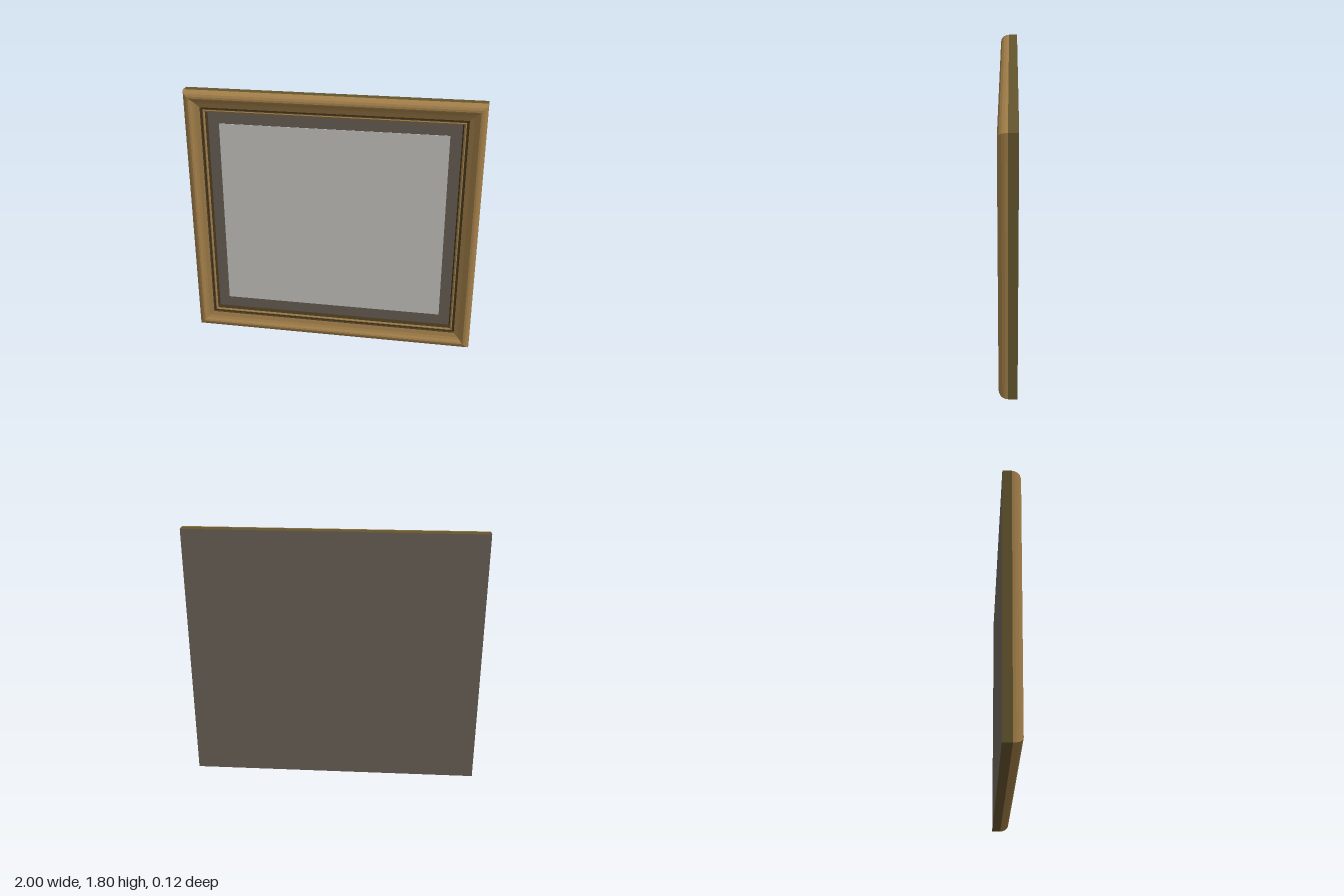
import * as THREE from 'three';

const W = 1, H = 0.9; // half width and half height

const material = (name, color) => {
  const m = new THREE.MeshStandardMaterial({ color });
  m.name = name;
  return m;
};

// Sweep a profile of [inset, z] points round the rectangle, with mitred corners
function mouldingGeometry(profile) {
  const corners = [[-1, -1], [1, -1], [1, 1], [-1, 1]];
  const at = ([sx, sy], [d, z]) => [sx * (W - d), sy * (H - d), z];
  const pos = [];
  for (let i = 0; i < profile.length - 1; i++) {
    for (let k = 0; k < 4; k++) {
      const c0 = corners[k], c1 = corners[(k + 1) % 4];
      const a0 = at(c0, profile[i]), a1 = at(c1, profile[i]);
      const b0 = at(c0, profile[i + 1]), b1 = at(c1, profile[i + 1]);
      pos.push(...a0, ...a1, ...b1, ...a0, ...b1, ...b0);
    }
  }
  const g = new THREE.BufferGeometry();
  g.setAttribute('position', new THREE.Float32BufferAttribute(pos, 3));
  g.computeVertexNormals();
  return g;
}

export function createModel() {
  const gold = material('gold wood', 0xa4804a);
  const dark = material('dark wood', 0x66552f);
  const shadow = material('groove brown', 0x44361c);
  const board = material('board brown', 0x6c6258);
  const paper = material('pale picture', 0xcdcbc6);

  const group = new THREE.Group();
  group.name = 'pictureFrame';
  const add = (name, geometry, mat, z = 0) => {
    const mesh = new THREE.Mesh(geometry, mat);
    mesh.name = name;
    mesh.position.set(0, H, z);
    group.add(mesh);
  };

  // Frame: straight rear edge, rounded front, sloping scoop, groove and lip
  add('frameEdge', mouldingGeometry([[0, -0.06], [0, 0]]), dark);
  add('frameMoulding', mouldingGeometry([
    [0, 0], [0.002, 0.018], [0.008, 0.036], [0.018, 0.05], [0.032, 0.058],
    [0.045, 0.06], [0.055, 0.055], [0.066, 0.043], [0.082, 0.033], [0.112, 0.024],
  ]), gold);
  add('frameGroove', mouldingGeometry([[0.112, 0.024], [0.116, 0.01], [0.126, 0.01], [0.128, 0.02]]), shadow);
  add('innerLip', mouldingGeometry([[0.128, 0.02], [0.134, 0.023], [0.144, 0.016]]), gold);
  add('innerWall', mouldingGeometry([[0.144, 0.016], [0.152, -0.015]]), shadow);

  // Mat and picture
  add('mat', new THREE.PlaneGeometry(1.7, 1.5), board, -0.015);
  add('picture', new THREE.BoxGeometry(1.545, 1.34, 0.004), paper, -0.014);

  // Back board
  const back = new THREE.PlaneGeometry(2 * W, 2 * H);
  back.rotateY(Math.PI);
  add('backBoard', back, board, -0.06);
  return group;
}
